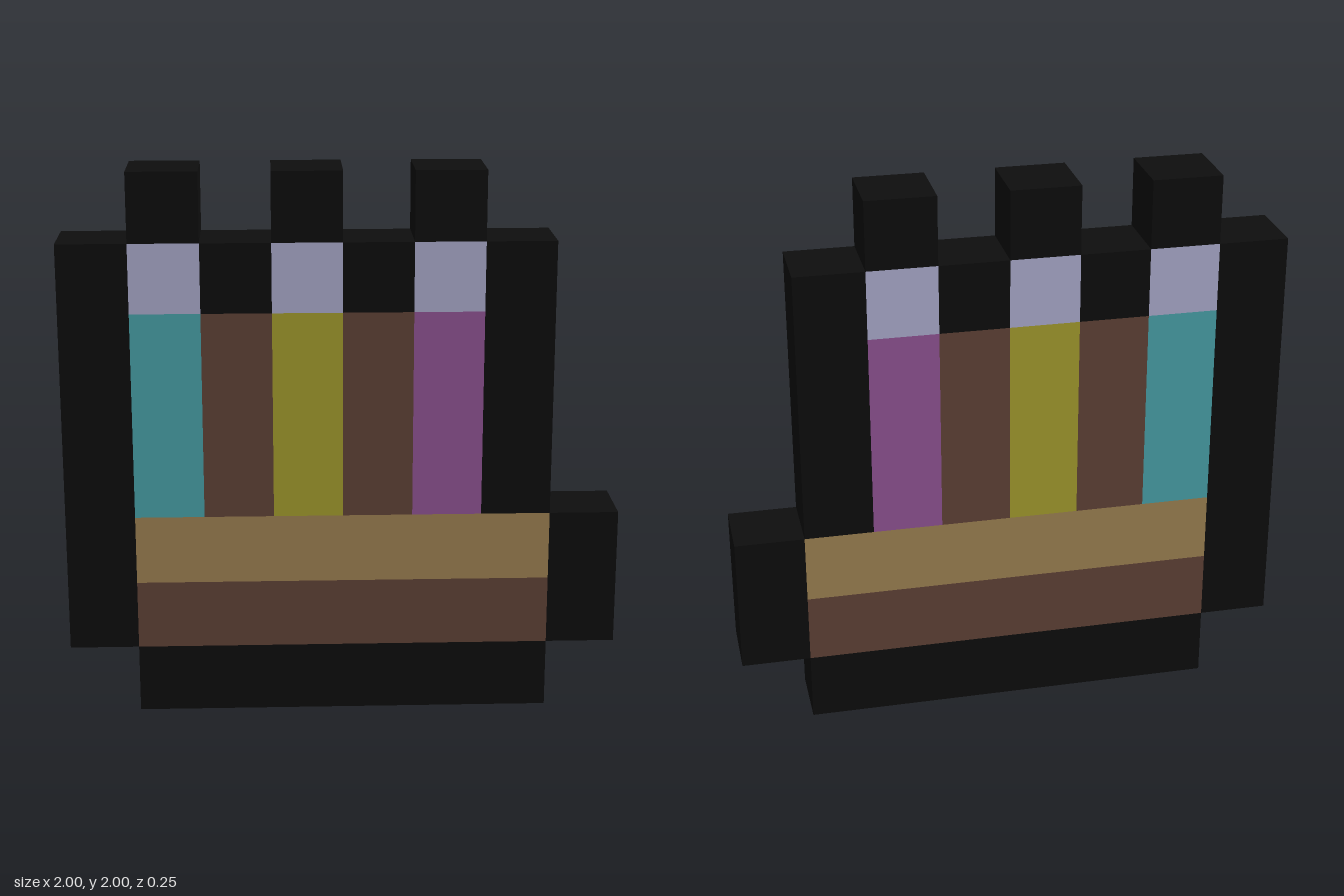
import * as THREE from 'three';

const material = (name, color) => {
  const m = new THREE.MeshStandardMaterial({ color });
  m.name = name;
  return m;
};

export function createModel() {
  const black = material('black', 0x0e0e0e);
  const brown = material('brown', 0x644539);
  const tan = material('tan', 0xa38655);
  const lavender = material('lavender', 0xb1b1d4);
  const teal = material('teal', 0x4ba7af);
  const yellow = material('yellow', 0xa9a22f);
  const purple = material('purple', 0x95579a);

  const group = new THREE.Group();
  group.name = 'crayonBox';
  const unit = 0.25; // size of one block

  // Box given by its extents in blocks: x from -4 to 4, y from 0 to 8
  const block = (name, mat, x0, x1, y0, y1, parent = group) => {
    const geometry = new THREE.BoxGeometry((x1 - x0) * unit, (y1 - y0) * unit, unit);
    const mesh = new THREE.Mesh(geometry, mat);
    mesh.position.set(((x0 + x1) / 2) * unit, ((y0 + y1) / 2) * unit, 0);
    mesh.name = name;
    parent.add(mesh);
  };

  // Dark outline
  block('baseOutline', black, -3, 3, 0, 1);
  block('rightOutline', black, -4, -3, 1, 7);
  block('leftOutline', black, 2, 3, 3, 7);
  block('leftLowerOutline', black, 3, 4, 1, 3);

  // Front bands of the box
  block('lowerBand', brown, -3, 3, 1, 2);
  block('upperBand', tan, -3, 3, 2, 3);

  // Crayons: coloured body, pale tip and dark cap
  [[-3, teal], [-1, yellow], [1, purple]].forEach(([x, color]) => {
    const crayon = new THREE.Group();
    crayon.name = color.name + 'Crayon';
    block('crayonBody', color, x, x + 1, 3, 6, crayon);
    block('crayonTip', lavender, x, x + 1, 6, 7, crayon);
    block('crayonCap', black, x, x + 1, 7, 8, crayon);
    group.add(crayon);
  });

  // Dividers between the crayons
  for (const x of [-2, 0]) {
    block('divider', brown, x, x + 1, 3, 6);
    block('dividerCap', black, x, x + 1, 6, 7);
  }

  return group;
}
